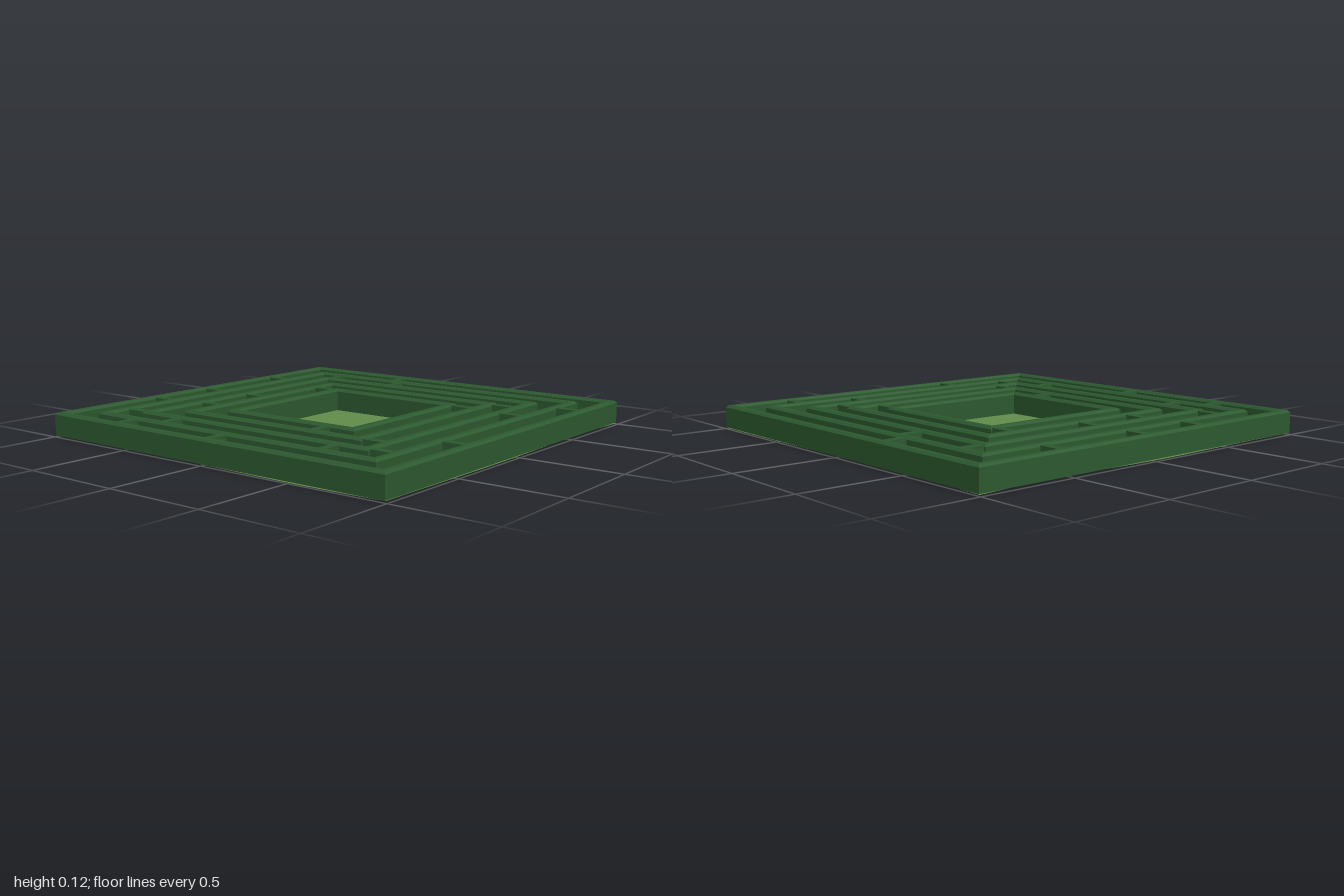
import * as THREE from 'three';

const WALL = 0.045, BASE = 0.01, TOP = 0.123;
const hedgeMat = new THREE.MeshStandardMaterial({ color: 0x2d5a30, flatShading: true });
const grassMat = new THREE.MeshStandardMaterial({ color: 0x648e4c, side: THREE.DoubleSide });

// Half extents of ring i, counted from the outside inwards
const halfX = i => 1 - 0.1437 * i;
const halfZ = i => 0.99 - 0.149 * i;

// Chamfered wall section [inset, height] swept around a rectangle with mitred corners
function ringGeometry(hx, hz) {
  const c = 0.011;
  const profile = [[0, BASE], [0, TOP - c], [c, TOP], [WALL - c, TOP], [WALL, TOP - c], [WALL, BASE]];
  const corners = [[1, 1], [1, -1], [-1, -1], [-1, 1]];
  const point = (k, j) => {
    const [sx, sz] = corners[k % 4], [d, y] = profile[j % profile.length];
    return [sx * (hx - d), y, sz * (hz - d)];
  };
  const pos = [];
  for (let k = 0; k < 4; k++) {
    for (let j = 0; j < profile.length; j++) {
      const a = point(k, j), b = point(k + 1, j), d = point(k + 1, j + 1), e = point(k, j + 1);
      pos.push(...a, ...b, ...d, ...a, ...d, ...e);
    }
  }
  const g = new THREE.BufferGeometry();
  g.setAttribute('position', new THREE.Float32BufferAttribute(pos, 3));
  g.computeVertexNormals();
  return g;
}

export function createModel() {
  const maze = new THREE.Group();
  maze.name = 'hedgeMaze';

  // Gently uneven lawn
  const lawn = new THREE.PlaneGeometry(1.99, 1.98, 40, 40).rotateX(-Math.PI / 2);
  const p = lawn.attributes.position;
  for (let i = 0; i < p.count; i++) {
    const x = p.getX(i), z = p.getZ(i);
    p.setY(i, 0.008 + 0.004 * Math.sin(5 * x + 1) * Math.cos(4 * z) + 0.004 * Math.sin(3 * z - 4 * x));
  }
  lawn.computeVertexNormals();
  const ground = new THREE.Mesh(lawn, grassMat);
  ground.name = 'lawn';
  maze.add(ground);

  // Five nested hedge rings
  const rings = new THREE.Group();
  rings.name = 'hedgeRings';
  for (let i = 0; i < 5; i++) {
    const ring = new THREE.Mesh(ringGeometry(halfX(i), halfZ(i)), hedgeMat);
    ring.name = `hedgeRing${i + 1}`;
    rings.add(ring);
  }
  maze.add(rings);

  // Short hedges blocking the corridors: positions along each side, per corridor
  const corridors = [
    { back: [-0.37, 0, 0.52], front: [-0.365, 0.65], left: [-0.32], right: [-0.58, 0] },
    { back: [-0.68], front: [-0.68, 0.355], left: [-0.66, -0.24], right: [-0.43, 0.52] },
    { back: [-0.325, 0], front: [-0.535, 0.535] },
    { back: [0.395], front: [0.39], right: [0.235] },
  ];
  const blocks = new THREE.Group();
  blocks.name = 'corridorHedges';
  const height = 0.108, width = 0.042;
  corridors.forEach((sides, i) => {
    const addBlock = (across, sign, at) => {
      const half = across === 'z' ? halfZ : halfX;
      const outer = half(i) - WALL + 0.01, inner = half(i + 1) - 0.01;
      const length = outer - inner, mid = sign * (outer + inner) / 2;
      const geo = across === 'z'
        ? new THREE.BoxGeometry(width, height, length)
        : new THREE.BoxGeometry(length, height, width);
      const block = new THREE.Mesh(geo, hedgeMat);
      block.name = 'corridorHedge';
      block.position.set(across === 'z' ? at : mid, BASE + height / 2, across === 'z' ? mid : at);
      blocks.add(block);
    };
    (sides.back ?? []).forEach(x => addBlock('z', -1, x));
    (sides.front ?? []).forEach(x => addBlock('z', 1, x));
    (sides.left ?? []).forEach(z => addBlock('x', 1, z));
    (sides.right ?? []).forEach(z => addBlock('x', -1, z));
  });
  maze.add(blocks);
  return maze;
}
